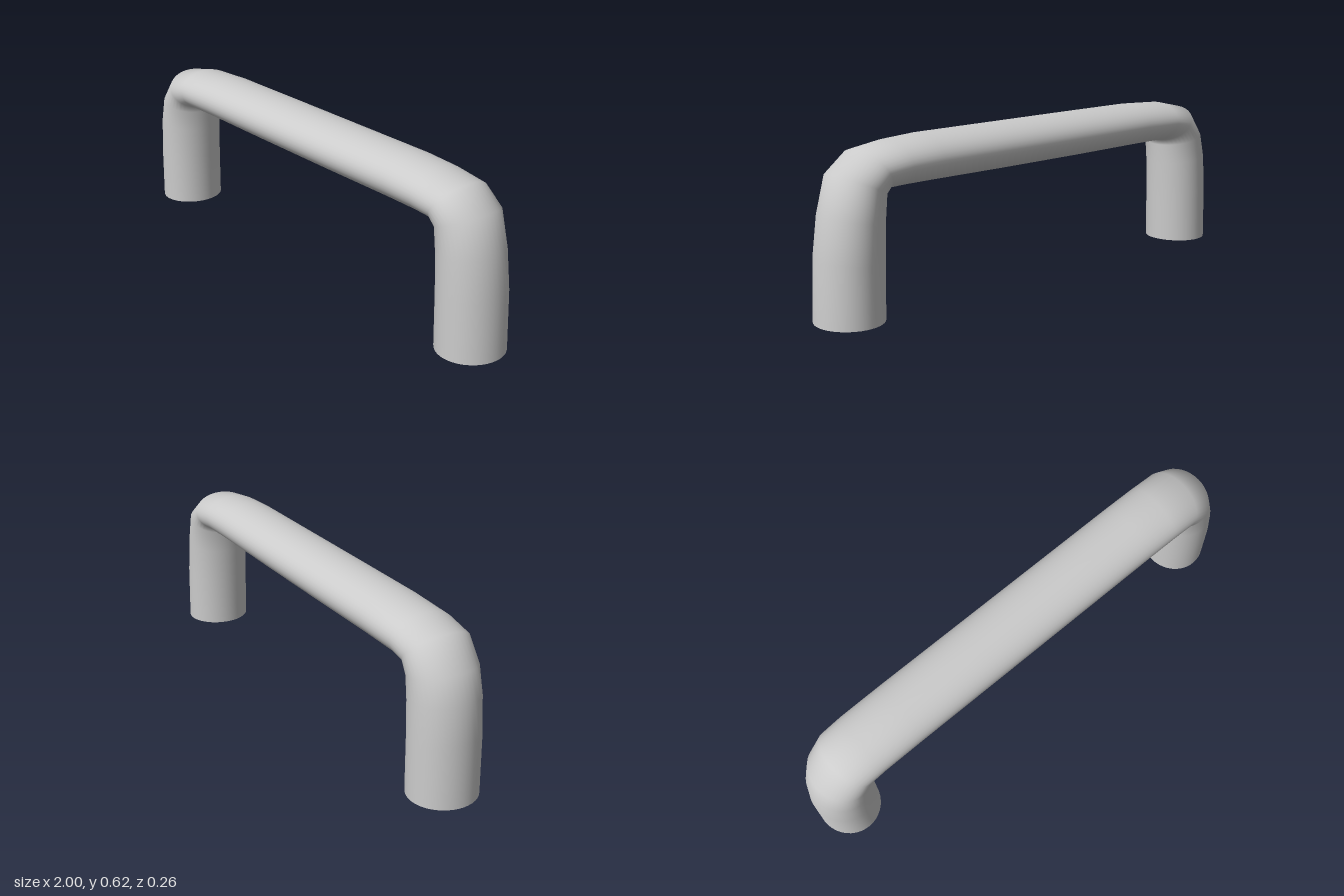
import * as THREE from 'three';

const SIDES = 40;
const DEPTH = 0.129;

// Cross-sections along the handle: outer x, y, then inner x, y
const sections = [
  [-1, 0, -0.755, 0],
  [-0.995, 0.235, -0.753, 0.2],
  [-0.98, 0.37, -0.75, 0.34],
  [-0.95, 0.47, -0.747, 0.42],
  [-0.866, 0.578, -0.745, 0.44],
  [-0.74, 0.605, -0.71, 0.446],
  [-0.55, 0.615, -0.54, 0.446],
  [-0.2, 0.616, -0.2, 0.444],
  [0.2, 0.616, 0.2, 0.444],
  [0.55, 0.616, 0.54, 0.446],
  [0.69, 0.608, 0.67, 0.446],
  [0.828, 0.588, 0.735, 0.445],
  [0.925, 0.513, 0.743, 0.43],
  [0.967, 0.374, 0.747, 0.34],
  [0.99, 0.225, 0.75, 0.2],
  [1, 0, 0.754, 0],
];

// Joins elliptical rings into one smooth, open-ended tube
function sweptTube(rings) {
  const positions = [];
  const index = [];
  rings.forEach(([ox, oy, ix, iy], r) => {
    for (let s = 0; s < SIDES; s++) {
      const a = (s / SIDES) * Math.PI * 2;
      const t = Math.cos(a) / 2;
      positions.push(
        (ox + ix) / 2 + (ox - ix) * t,
        (oy + iy) / 2 + (oy - iy) * t,
        Math.sin(a) * DEPTH,
      );
      if (r === 0) continue;
      const n = (s + 1) % SIDES;
      const p = (r - 1) * SIDES;
      const q = r * SIDES;
      index.push(p + s, p + n, q + s, p + n, q + n, q + s);
    }
  });
  const geometry = new THREE.BufferGeometry();
  geometry.setAttribute('position', new THREE.Float32BufferAttribute(positions, 3));
  geometry.setIndex(index);
  geometry.computeVertexNormals();
  return geometry;
}

export function createModel() {
  const group = new THREE.Group();
  group.name = 'pullHandle';
  const material = new THREE.MeshStandardMaterial({ color: 0xcccccc, side: THREE.DoubleSide });

  // Both legs and the flattened grip bar are one continuous bent tube
  const handle = new THREE.Mesh(sweptTube(sections), material);
  handle.name = 'handleTube';
  group.add(handle);
  return group;
}
